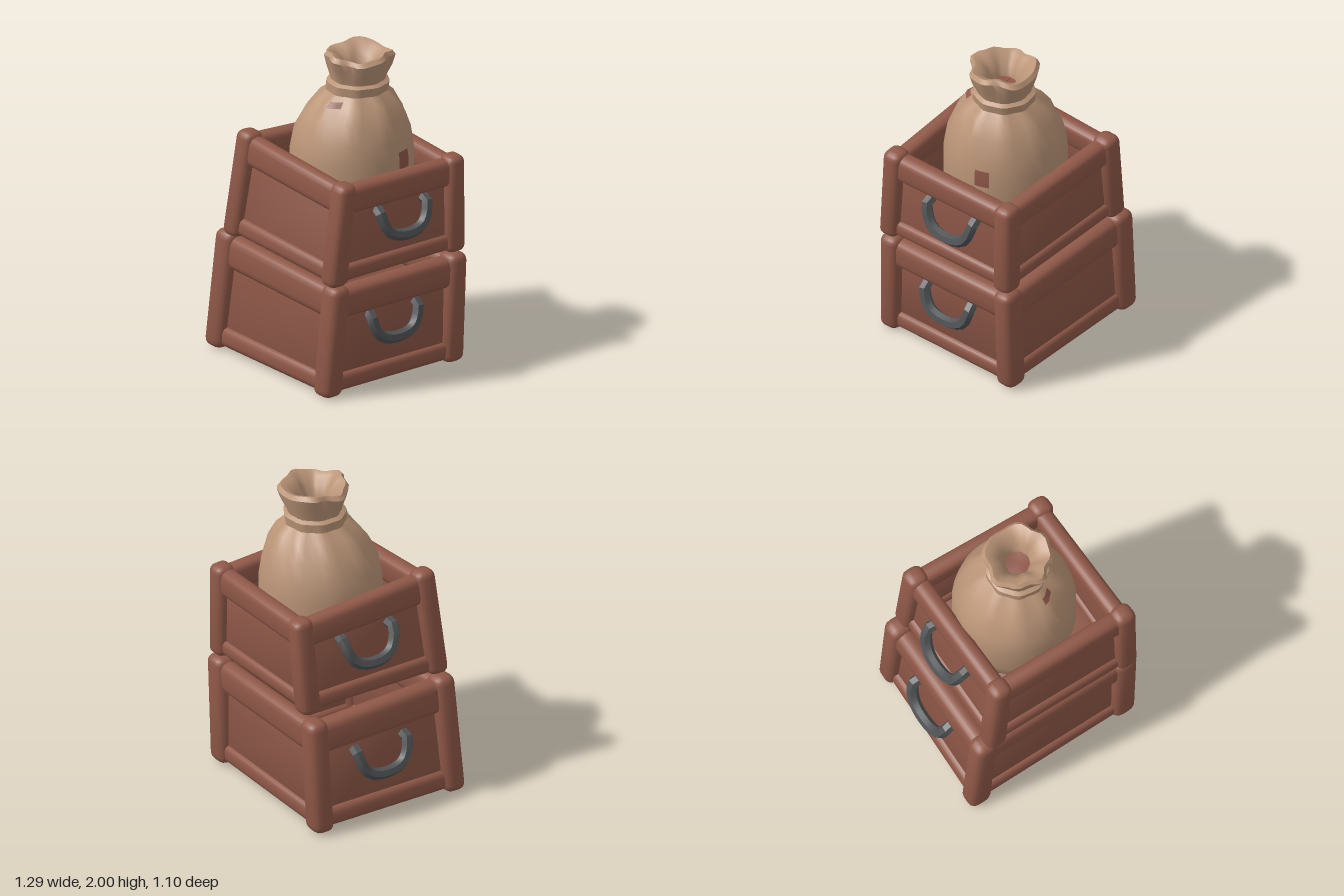
import * as THREE from 'three';
import { toCreasedNormals } from 'three/addons/utils/BufferGeometryUtils.js';
import { RoundedBoxGeometry } from 'three/addons/geometries/RoundedBoxGeometry.js';

const wood = new THREE.MeshStandardMaterial({ color: 0x8f5848 });
wood.name = 'brick red wood';
const iron = new THREE.MeshStandardMaterial({ color: 0x505355 });
iron.name = 'dark iron';
const cloth = new THREE.MeshStandardMaterial({ color: 0xba9477, side: THREE.DoubleSide });
cloth.name = 'tan sackcloth';
const patchCloth = new THREE.MeshStandardMaterial({ color: 0x8f5849, side: THREE.DoubleSide });
patchCloth.name = 'red patch cloth';

const A = 0.53, H = 0.36; // nominal half width and half height of a crate

// Moves every vertex by a rule, then rebuilds normals with sharp edges kept.
function reshape(geo, rule, crease = 0.7) {
  const p = geo.attributes.position, v = new THREE.Vector3();
  for (let i = 0; i < p.count; i++) {
    rule(v.fromBufferAttribute(p, i));
    p.setXYZ(i, v.x, v.y, v.z);
  }
  return toCreasedNormals(geo, crease);
}

// Skews a nominal box so that its corners reach the eight given points.
// Corner order counts up with x first, then y, then z.
function warpTo(corners) {
  return (v) => {
    const t = [(v.x / A + 1) / 2, (v.y / H + 1) / 2, (v.z / A + 1) / 2];
    const out = [0, 0, 0];
    corners.forEach((c, i) => {
      let w = 1;
      for (let k = 0; k < 3; k++) w *= (i >> k) & 1 ? t[k] : 1 - t[k];
      c.forEach((n, k) => { out[k] += n * w; });
    });
    v.set(...out);
  };
}

function createCrate(name, corners) {
  const crate = new THREE.Group();
  crate.name = name;
  const warp = warpTo(corners);
  const beam = (part, size, pos, radius, turn = 0, tilt = 0) => {
    const geo = new RoundedBoxGeometry(...size, 2, radius);
    geo.rotateX(tilt).translate(...pos).rotateY(turn);
    const mesh = new THREE.Mesh(reshape(geo, warp), wood);
    mesh.name = part;
    crate.add(mesh);
  };
  // corner posts
  for (const sx of [-1, 1]) for (const sz of [-1, 1]) {
    beam('cornerPost', [0.14, 2 * H, 0.14], [sx * (A - 0.07), 0, sz * (A - 0.07)], 0.05);
  }
  // four walls: thick top rail, recessed panel flaring to the foot, low bottom rail
  for (let i = 0; i < 4; i++) {
    const turn = i * Math.PI / 2;
    beam('topRail', [1.86 * A, 0.2, 0.115], [0, H - 0.125, A - 0.08], 0.05, turn);
    beam('wallPanel', [1.8 * A, 1.8 * H, 0.05], [0, -0.02, A - 0.085], 0.01, turn, -0.03);
    beam('bottomRail', [1.86 * A, 0.12, 0.1], [0, -H + 0.08, A - 0.077], 0.04, turn);
  }
  beam('floor', [1.85 * A, 0.05, 1.85 * A], [0, -H + 0.05, 0], 0.01);
  return crate;
}

// Bowed grip whose two ends are sunk into the wall.
function createHandle(name, side, wallX, outX, y, z) {
  const shape = [[-0.175, 0.09, 0], [-0.18, 0.075, 0.5], [-0.14, -0.04, 0.85], [-0.07, -0.08, 1],
    [0.07, -0.08, 1], [0.14, -0.04, 0.85], [0.18, 0.075, 0.5], [0.175, 0.09, 0]];
  const inner = wallX - 0.02, outer = outX - 0.037;
  const path = new THREE.CatmullRomCurve3(shape.map(([dz, dy, out]) => new THREE.Vector3(
    side * (inner + (outer - inner) * out), y + dy, z + dz)), false, 'centripetal');
  const geo = new THREE.TubeGeometry(path, 14, 0.037, 6);
  const mesh = new THREE.Mesh(toCreasedNormals(geo, 0.6), iron);
  mesh.name = name;
  return mesh;
}

const smooth = (a, b, y) => THREE.MathUtils.smoothstep(y, a, b);

// Leans the sack, and gathers the cloth into folds around the neck and mouth.
function drape(v) {
  const ang = Math.atan2(v.x, v.z), y = v.y;
  const fold = 0.06 * smooth(1.5, 1.7, y) * (1 - 0.7 * smooth(1.72, 1.76, y));
  const mouth = smooth(1.8, 1.95, y);
  const k = 1 + fold * Math.sin(ang * 9) + mouth * (0.05 * Math.sin(ang * 5 + 1) + 0.04 * Math.sin(ang * 8));
  const lean = smooth(1.4, 1.9, y);
  v.set(v.x * k + 0.06 + 0.04 * lean, y + mouth * 0.014 * Math.sin(ang * 3 + 2), v.z * k - 0.05 - 0.02 * lean);
}

function lathe(name, points, segments, material, start = 0, length = Math.PI * 2) {
  const geo = new THREE.LatheGeometry(points.map(([r, y]) => new THREE.Vector2(r, y)), segments, start, length);
  const mesh = new THREE.Mesh(reshape(geo, drape, 0.8), material);
  mesh.name = name;
  return mesh;
}

function createSack() {
  const sack = new THREE.Group();
  sack.name = 'sack';
  sack.add(
    lathe('sackBody', [[0, 0.83], [0.26, 0.84], [0.34, 0.92], [0.375, 1.1], [0.375, 1.36], [0.355, 1.48],
      [0.305, 1.6], [0.24, 1.69], [0.175, 1.75]], 36, cloth),
    lathe('neckBand', [[0.16, 1.735], [0.186, 1.745], [0.19, 1.8], [0.165, 1.815]], 36, cloth),
    // flared mouth rolled over into a narrow hole
    lathe('sackMouth', [[0.16, 1.79], [0.168, 1.83], [0.195, 1.9], [0.21, 1.96], [0.19, 1.985],
      [0.15, 1.97], [0.105, 1.92], [0.075, 1.86], [0.07, 1.82]], 36, cloth),
    lathe('mouthLining', [[0, 1.85], [0.08, 1.85]], 12, patchCloth),
    // small worn patches lying on the cloth
    lathe('neckPatch', [[0.25, 1.685], [0.218, 1.718]], 3, patchCloth, 0.15, 0.35),
    lathe('sidePatch', [[0.38, 1.3], [0.38, 1.36], [0.372, 1.41]], 3, patchCloth, 1.76, 0.25),
  );
  return sack;
}

export function createModel() {
  const model = new THREE.Group();
  model.name = 'stackedCratesWithSack';
  model.add(
    createCrate('lowerCrate', [
      [-0.62, 0.01, -0.53], [0.565, 0.01, -0.53], [-0.57, 0.75, -0.54], [0.6, 0.72, -0.53],
      [-0.645, 0.01, 0.55], [0.56, 0, 0.54], [-0.565, 0.785, 0.52], [0.6, 0.715, 0.505]]),
    createCrate('upperCrate', [
      [-0.5, 0.78, -0.54], [0.59, 0.73, -0.52], [-0.43, 1.395, -0.555], [0.585, 1.345, -0.52],
      [-0.5, 0.765, 0.525], [0.59, 0.715, 0.52], [-0.415, 1.46, 0.475], [0.62, 1.37, 0.46]]),
    createHandle('lowerLeftHandle', 1, 0.53, 0.6, 0.385, 0),
    createHandle('lowerRightHandle', -1, 0.54, 0.645, 0.39, -0.02),
    createHandle('upperLeftHandle', 1, 0.55, 0.64, 1.05, -0.045),
    createHandle('upperRightHandle', -1, 0.41, 0.54, 1.11, -0.04),
    createSack(),
  );
  return model;
}
